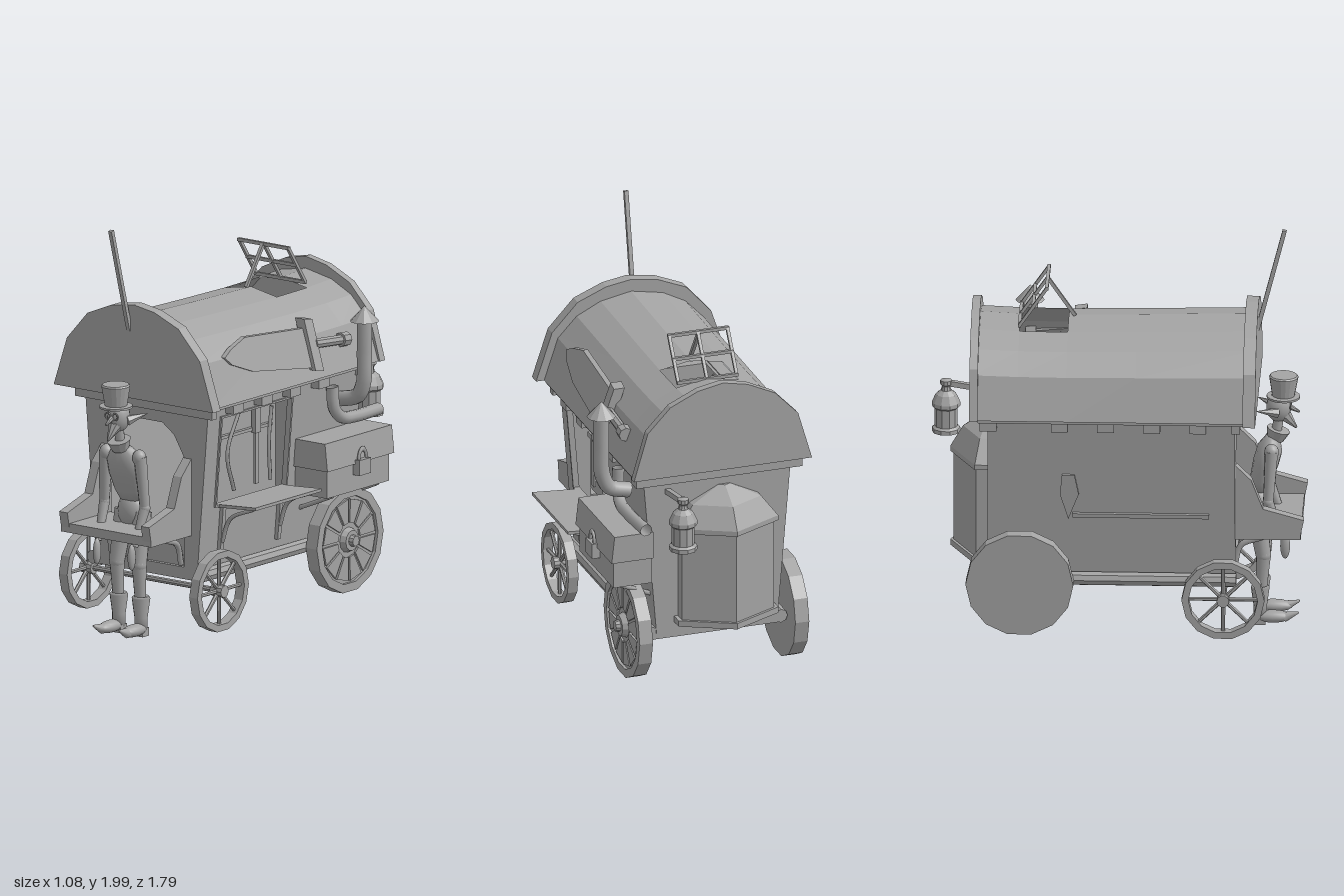
import * as THREE from 'three';

const CX = -0.055; // centre line of the wagon body
const V = (x, y, z) => new THREE.Vector3(x, y, z);
const wallX = (side, y) => CX + side * (0.305 + (y - 0.3) * 0.083);

export function createModel() {
  const group = new THREE.Group();
  const grey = new THREE.MeshStandardMaterial({ color: 0xa3a3a3, side: THREE.DoubleSide });
  grey.name = 'plain grey';

  // ---- helpers ----
  function add(name, geo, smooth = false) {
    if (!smooth) {
      if (geo.index) geo = geo.toNonIndexed();
      geo.computeVertexNormals();
    }
    const mesh = new THREE.Mesh(geo, grey);
    mesh.name = name;
    group.add(mesh);
    return mesh;
  }
  // box from its limits
  const box = (name, x0, x1, y0, y1, z0, z1) => add(name,
    new THREE.BoxGeometry(x1 - x0, y1 - y0, z1 - z0).translate((x0 + x1) / 2, (y0 + y1) / 2, (z0 + z1) / 2));
  // cylinder or cone between two points
  function rod(name, a, b, r0, r1 = r0, seg = 8, smooth = false) {
    const d = b.clone().sub(a);
    const geo = new THREE.CylinderGeometry(r1, r0, d.length(), seg);
    geo.applyQuaternion(new THREE.Quaternion().setFromUnitVectors(V(0, 1, 0), d.normalize()));
    geo.translate(...a.clone().add(b).multiplyScalar(0.5).toArray());
    return add(name, geo, smooth);
  }
  // square bar between two points in a plane of constant x
  function bar(name, a, b, t) {
    const d = b.clone().sub(a);
    const m = add(name, new THREE.BoxGeometry(t, d.length(), t));
    m.quaternion.setFromUnitVectors(V(0, 1, 0), d.normalize());
    m.position.copy(a).add(b).multiplyScalar(0.5);
  }
  const toShape = (pts, holes, s) => {
    const conv = p => p.map(([a, b]) => new THREE.Vector2(s * a, b));
    const shape = new THREE.Shape(conv(pts));
    holes.forEach(h => shape.holes.push(new THREE.Path(conv(h))));
    return shape;
  };
  // plate drawn in (x, y)
  const frontPlate = (name, pts, z, depth, holes = []) => add(name,
    new THREE.ExtrudeGeometry(toShape(pts, holes, 1), { depth, bevelEnabled: false }).translate(0, 0, z));
  // plate drawn in (z, y), its x position following fx(y)
  function sidePlate(name, pts, fx, depth, holes = []) {
    const geo = new THREE.ExtrudeGeometry(toShape(pts, holes, -1), { depth, bevelEnabled: false });
    geo.rotateY(Math.PI / 2);
    const p = geo.attributes.position;
    for (let i = 0; i < p.count; i++) p.setX(i, p.getX(i) + fx(p.getY(i)));
    return add(name, geo);
  }
  const ring = (cz, cy, r, n, a0 = 0) => Array.from({ length: n }, (_, i) =>
    [cz + r * Math.cos(a0 + i * 2 * Math.PI / n), cy + r * Math.sin(a0 + i * 2 * Math.PI / n)]);
  const rect = (a0, a1, b0, b1) => [[a0, b0], [a1, b0], [a1, b1], [a0, b1]];
  const tube = (name, pts, r, seg = 10) => add(name,
    new THREE.TubeGeometry(new THREE.CatmullRomCurve3(pts, false, 'centripetal'), 24, r, seg), true);
  const lathe = (name, pts, seg = 16, smooth = true) => add(name,
    new THREE.LatheGeometry(pts.map(p => new THREE.Vector2(...p)), seg), smooth);
  const ball = (name, x, y, z, rx, ry, rz) => add(name,
    new THREE.SphereGeometry(1, 14, 10).scale(rx, ry, rz).translate(x, y, z), true);

  // ---- body ----
  const win = rect(-0.065, 0.47, 0.64, 1.07);
  const side = rect(-0.605, 0.575, 0.3, 1.15);
  sidePlate('rightWall', side, y => wallX(1, y) - 0.02, 0.02, [win]);
  sidePlate('leftWall', side, y => wallX(-1, y), 0.02);
  const end = [[wallX(-1, 0.3), 0.3], [wallX(1, 0.3), 0.3], [wallX(1, 1.15), 1.15], [wallX(-1, 1.15), 1.15]];
  const door = [[-0.28, 0.34], [0.17, 0.34], [0.17, 0.88], [0.11, 0.98], [0.04, 1.03], [-0.15, 1.03], [-0.22, 0.98], [-0.28, 0.88]];
  frontPlate('frontWall', end, 0.555, 0.02, [door]);
  frontPlate('backWall', end, -0.605, 0.02);
  frontPlate('doorPanel', rect(-0.3, 0.19, 0.31, 0.52), 0.53, 0.02);
  box('floor', -0.37, 0.26, 0.28, 0.31, -0.6, 0.57);
  for (const s of [-1, 1]) {
    const x = CX + s * 0.325;
    rod('sill', V(x, 0.31, -0.6), V(x, 0.31, 0.58), 0.034);
    box('eaveBeam', CX + s * 0.4 - 0.03, CX + s * 0.4 + 0.03, 1.135, 1.155, -0.65, 0.62);
    for (const z of [0.4, 0.18, -0.04, -0.26, -0.6])
      box('rafterEnd', CX + s * 0.385 - 0.035, CX + s * 0.385 + 0.035, 1.09, 1.14, z - 0.04, z + 0.04);
  }
  box('frontBeam', -0.47, 0.36, 1.09, 1.15, 0.56, 0.6);
  box('backBeam', -0.46, 0.35, 1.09, 1.15, -0.64, -0.6);
  sidePlate('leftShutter', rect(-0.2, 0.45, 0.63, 0.65), y => wallX(-1, y) - 0.02, 0.02);
  sidePlate('leftDagger', [[-0.22, 0.62], [-0.17, 0.75], [-0.19, 0.85], [-0.25, 0.85], [-0.26, 0.75]], y => wallX(-1, y) - 0.015, 0.015);

  // ---- roof with an open hatch ----
  const prof = [[-0.495, 1.15], [-0.425, 1.36], [-0.33, 1.46], [-0.215, 1.52], [-0.055, 1.55], [0.1, 1.52], [0.22, 1.46], [0.315, 1.36], [0.385, 1.15]];
  const rings = [[0.64, 1], [0.1, 0.965], [-0.23, 0.95], [-0.46, 0.955], [-0.67, 0.98]];
  const verts = [], faces = [];
  rings.forEach(([z, k]) => prof.forEach(([x, y]) => verts.push(x, 1.15 + (y - 1.15) * k, z)));
  for (let r = 0; r < 4; r++) for (let c = 0; c < 8; c++) {
    if (r === 2 && (c === 3 || c === 4)) continue;
    const a = r * 9 + c, b = a + 9;
    faces.push(a, a + 1, b, a + 1, b + 1, b);
  }
  const roof = new THREE.BufferGeometry();
  roof.setAttribute('position', new THREE.Float32BufferAttribute(verts, 3));
  roof.setIndex(faces.reverse());
  add('roof', roof);
  frontPlate('frontGable', [[-0.54, 1.15], [0.425, 1.15], [0.345, 1.39], [0.215, 1.53], [0.07, 1.59], [-0.055, 1.61], [-0.19, 1.59], [-0.335, 1.53], [-0.46, 1.39]], 0.615, 0.06);
  frontPlate('backGable', [[-0.505, 1.15], [0.395, 1.15], [0.325, 1.39], [0.21, 1.51], [0.07, 1.575], [-0.055, 1.6], [-0.18, 1.575], [-0.32, 1.51], [-0.435, 1.39]], -0.69, 0.04);
  // raised hatch frame and its prop
  const lo = [1.53, -0.46], hi = [1.72, -0.33];
  for (const x of [-0.205, -0.055, 0.09]) bar('hatchBar', V(x, ...lo), V(x, ...hi), 0.015);
  for (const t of [0, 0.5, 1]) {
    const y = lo[0] + t * (hi[0] - lo[0]), z = lo[1] + t * (hi[1] - lo[1]);
    box('hatchRail', -0.212, 0.097, y - 0.008, y + 0.008, z - 0.008, z + 0.008);
  }
  bar('hatchProp', V(-0.062, 1.53, -0.2), V(-0.062, 1.72, -0.33), 0.016);
  bar('pole', V(-0.085, 1.48, 0.67), V(-0.094, 1.99, 0.8), 0.02);

  // ---- big sword lying on the roof slope ----
  const slope = y => 0.385 - (y - 1.15) * 0.33;
  sidePlate('swordBlade', [[0.46, 1.365], [0.4, 1.395], [0.28, 1.43], [-0.15, 1.395], [-0.15, 1.21], [0.28, 1.27], [0.42, 1.325]], y => slope(y) - 0.01, 0.025);
  sidePlate('swordGuard', [[-0.145, 1.2], [-0.205, 1.19], [-0.215, 1.43], [-0.155, 1.44]], y => slope(y) - 0.02, 0.055);
  rod('swordGrip', V(0.35, 1.315, -0.2), V(0.35, 1.295, -0.42), 0.024);
  rod('swordPommel', V(0.35, 1.297, -0.4), V(0.35, 1.293, -0.45), 0.035);

  // ---- stove pipe ----
  tube('chimneyPipe', [V(0.47, 1.42, -0.435), V(0.47, 1.25, -0.435), V(0.465, 1.1, -0.435), V(0.43, 1.03, -0.435), V(0.33, 1.0, -0.435)], 0.038);
  rod('chimneyCap', V(0.47, 1.4, -0.435), V(0.47, 1.475, -0.435), 0.07, 0.001, 10);
  tube('lowerPipe', [V(0.35, 1.08, -0.34), V(0.355, 0.97, -0.35), V(0.36, 0.92, -0.4), V(0.355, 0.905, -0.5), V(0.34, 0.9, -0.71)], 0.03);

  // ---- chest with padlock ----
  box('chestBase', 0.28, 0.475, 0.585, 0.73, -0.62, -0.14);
  const lid = [[0.28, 0.72], [0.49, 0.72], [0.475, 0.855], [0.28, 0.855]];
  frontPlate('chestLid', lid, -0.64, 0.515);
  box('padlock', 0.475, 0.515, 0.665, 0.74, -0.43, -0.34);
  add('padlockShackle', new THREE.TorusGeometry(0.03, 0.008, 6, 12, Math.PI).scale(1, 1.7, 1).rotateY(Math.PI / 2).translate(0.498, 0.738, -0.385), true);
  for (const z of [-0.2, -0.55]) tube('chestBracket', [V(0.26, 0.5, z), V(0.38, 0.55, z), V(0.46, 0.585, z)], 0.012, 6);

  // ---- counter, window frame and hanging tools ----
  frontPlate('counter', [[0.28, 0.625], [0.505, 0.64], [0.505, 0.655], [0.28, 0.64]], -0.06, 0.51);
  for (const z of [0.42, -0.025]) {
    sidePlate('counterStrut', rect(z - 0.012, z + 0.012, 0.38, 0.63), y => wallX(1, y), 0.02);
    tube('counterBracket', [V(0.28, 0.45, z), V(0.33, 0.57, z), V(0.47, 0.635, z)], 0.01, 6);
  }
  sidePlate('windowFrame', rect(-0.075, 0.48, 0.63, 1.08), y => wallX(1, y), 0.01, [win]);
  box('toolBoard', 0.17, 0.18, 0.6, 1.1, -0.12, 0.53);
  box('toolRail', 0.18, 0.2, 0.92, 0.935, -0.07, 0.47);
  box('hungSwordBlade', 0.2, 0.212, 0.66, 0.92, 0.395, 0.425);
  box('hungSwordGuard', 0.195, 0.22, 0.9, 0.925, 0.36, 0.46);
  rod('hungSwordGrip', V(0.206, 0.92, 0.41), V(0.206, 1.01, 0.42), 0.012);
  tube('hungBow', [V(0.21, 0.66, 0.24), V(0.21, 0.85, 0.29), V(0.21, 1.04, 0.2)], 0.01, 6);
  box('hungCleaverBlade', 0.2, 0.212, 0.66, 0.91, 0.05, 0.075);
  box('hungCleaverGrip', 0.195, 0.22, 0.91, 1.03, 0.045, 0.085);
  tube('hungSickle', [V(0.21, 0.66, -0.04), V(0.21, 0.85, -0.03), V(0.21, 1.02, -0.05)], 0.01, 6);

  // ---- rear bay: wedge-shaped plan with a two-step cap ----
  const plan = k => [[-0.33, -0.6], [-0.33, -0.665], [-0.09, -0.785], [0.15, -0.665], [0.15, -0.6]]
    .map(([x, z]) => [-0.09 + (x + 0.09) * k, -0.6 + (z + 0.6) * k]);
  const bayLevels = [[0.36, 1.05], [0.39, 1.05], [0.39, 0.97], [0.84, 0.97], [0.84, 1.05], [0.865, 1.05], [0.97, 0.72], [1.04, 0.12]];
  const bv = [], bf = [];
  bayLevels.forEach(([y, k]) => plan(k).forEach(([x, z]) => bv.push(x, y, z)));
  for (let l = 0; l < bayLevels.length - 1; l++) for (let c = 0; c < 4; c++) {
    const a = l * 5 + c, b = a + 5;
    bf.push(a, b, a + 1, a + 1, b, b + 1);
  }
  const top = (bayLevels.length - 1) * 5;
  for (let c = 1; c < 4; c++) bf.push(0, c, c + 1, top, top + c + 1, top + c);
  const bay = new THREE.BufferGeometry();
  bay.setAttribute('position', new THREE.Float32BufferAttribute(bv, 3));
  bay.setIndex(bf);
  add('rearBay', bay);

  // ---- lantern ----
  bar('lanternArm', V(0.195, 1.04, -0.6), V(0.195, 1.08, -0.84), 0.026);
  lathe('lantern', [[0, 0.83], [0.068, 0.83], [0.068, 0.85], [0.055, 0.86], [0.055, 0.95], [0.068, 0.96], [0.068, 0.98], [0.05, 1.02], [0.025, 1.04], [0.02, 1.06], [0.028, 1.07], [0.028, 1.09], [0, 1.1]], 10, false).position.set(0.195, 0, -0.825);

  // ---- wheels and axles ----
  for (const s of [-1, 1]) {
    const x = s > 0 ? 0.315 : -0.475, fz = 0.52, fy = 0.24, rz = -0.45, ry = 0.31;
    sidePlate('frontRim', ring(fz, fy, 0.198, 14), () => x, 0.05, [ring(fz, fy, 0.165, 14)]);
    rod('frontHub', V(x - 0.01, fy, fz), V(x + 0.06, fy, fz), 0.03, 0.03, 10);
    for (let i = 0; i < 8; i++) {
      const a = i * Math.PI / 4;
      rod('frontSpoke', V(x + 0.025, fy, fz), V(x + 0.025, fy + 0.175 * Math.sin(a), fz + 0.175 * Math.cos(a)), 0.011, 0.009, 6);
    }
    sidePlate('rearDisc', ring(rz, ry, 0.257, 14), () => s > 0 ? 0.305 : -0.485, s > 0 ? 0.052 : 0.07);
    if (s < 0) continue;
    sidePlate('rearRim', ring(rz, ry, 0.257, 14), () => 0.355, 0.017, [ring(rz, ry, 0.215, 14)]);
    for (let i = 0; i < 12; i++) {
      const at = (r, d) => [rz + r * Math.cos((i + d) * Math.PI / 6), ry + r * Math.sin((i + d) * Math.PI / 6)];
      sidePlate('rearPanel', [at(0.085, 0.14), at(0.2, 0.07), at(0.2, 0.93), at(0.085, 0.86)], () => 0.355, 0.012);
    }
    rod('rearHub', V(0.35, ry, rz), V(0.385, ry, rz), 0.065, 0.05, 12);
    rod('rearHubCap', V(0.38, ry, rz), V(0.408, ry, rz), 0.03, 0.025, 10);
  }
  rod('frontAxle', V(-0.45, 0.24, 0.52), V(0.34, 0.24, 0.52), 0.014);
  rod('rearAxle', V(-0.45, 0.31, -0.45), V(0.34, 0.31, -0.45), 0.025);

  // ---- driver's bench ----
  const arm = [[0.57, 0.51], [0.88, 0.5], [0.9, 0.6], [0.705, 0.655], [0.65, 0.8], [0.57, 0.88]];
  for (const x of [-0.33, 0.165]) sidePlate('benchSide', arm, () => x, 0.05);
  box('benchSeat', -0.33, 0.215, 0.5, 0.545, 0.57, 0.885);
  for (const x of [-0.27, 0.15]) tube('benchBracket', [V(x, 0.35, 0.57), V(x, 0.45, 0.6), V(x, 0.49, 0.7)], 0.015, 6);

  // ---- driver ----
  const px = -0.07;
  const torso = lathe('torso', [[0, 0], [0.065, 0.01], [0.085, 0.06], [0.1, 0.15], [0.098, 0.22], [0.06, 0.275], [0.03, 0.29], [0, 0.29]]);
  torso.scale.z = 0.62;
  torso.rotation.x = 0.27;
  torso.position.set(px, 0.655, 0.67);
  ball('hips', px, 0.6, 0.67, 0.075, 0.09, 0.06);
  rod('collar', V(px, 0.915, 0.755), V(px, 0.965, 0.77), 0.04, 0.058, 10);
  rod('neck', V(px, 0.92, 0.755), V(px, 1.02, 0.77), 0.024, 0.024, 10, true);
  ball('head', px, 1.08, 0.77, 0.052, 0.075, 0.06);
  rod('chin', V(px, 1.05, 0.79), V(px, 0.975, 0.855), 0.038, 0.006, 8);
  rod('nose', V(px, 1.085, 0.815), V(px, 1.055, 0.87), 0.016, 0.006, 8);
  lathe('topHat', [[0, 1.125], [0.08, 1.128], [0.08, 1.138], [0.054, 1.14], [0.07, 1.235], [0.064, 1.242], [0, 1.242]], 18, false).position.set(px, 0, 0.77);
  group.children.at(-1).rotation.x = 0.02;
  for (const s of [-1, 1]) {
    const x = d => px + s * d;
    rod('ear', V(x(0.045), 1.065, 0.765), V(x(0.095), 1.09, 0.67), 0.026, 0.002, 6);
    add('spectacle', new THREE.TorusGeometry(0.016, 0.004, 6, 12).translate(x(0.022), 1.09, 0.828), true);
    ball('shoulder', x(0.1), 0.885, 0.74, 0.034, 0.04, 0.035);
    rod('upperArm', V(x(0.105), 0.89, 0.74), V(x(0.122), 0.64, 0.725), 0.032, 0.025, 10, true);
    ball('elbow', x(0.122), 0.64, 0.725, 0.027, 0.03, 0.027);
    rod('forearm', V(x(0.122), 0.64, 0.725), V(x(0.11), 0.46, 0.79), 0.026, 0.017, 10, true);
    ball('hand', x(0.105), 0.41, 0.805, 0.017, 0.065, 0.024);
    const lx = x(0.067);
    rod('thigh', V(x(0.05), 0.6, 0.66), V(lx, 0.35, 0.7), 0.05, 0.038, 12, true);
    ball('knee', lx, 0.35, 0.7, 0.038, 0.04, 0.038);
    rod('shin', V(lx, 0.35, 0.7), V(lx, 0.17, 0.69), 0.036, 0.026, 12, true);
    lathe('boot', [[0, 0.03], [0.032, 0.03], [0.032, 0.09], [0.045, 0.185], [0.038, 0.195], [0.02, 0.18]], 12).position.set(lx, 0, 0.685);
    ball('shoe', x(0.072), 0.037, 0.745, 0.038, 0.03, 0.09);
    rod('shoeToe', V(x(0.075), 0.035, 0.8), V(x(0.078), 0.06, 0.868), 0.026, 0.005, 10, true);
    box('shoeHeel', lx - 0.03, lx + 0.03, 0, 0.04, 0.66, 0.71);
  }
  return group;
}
